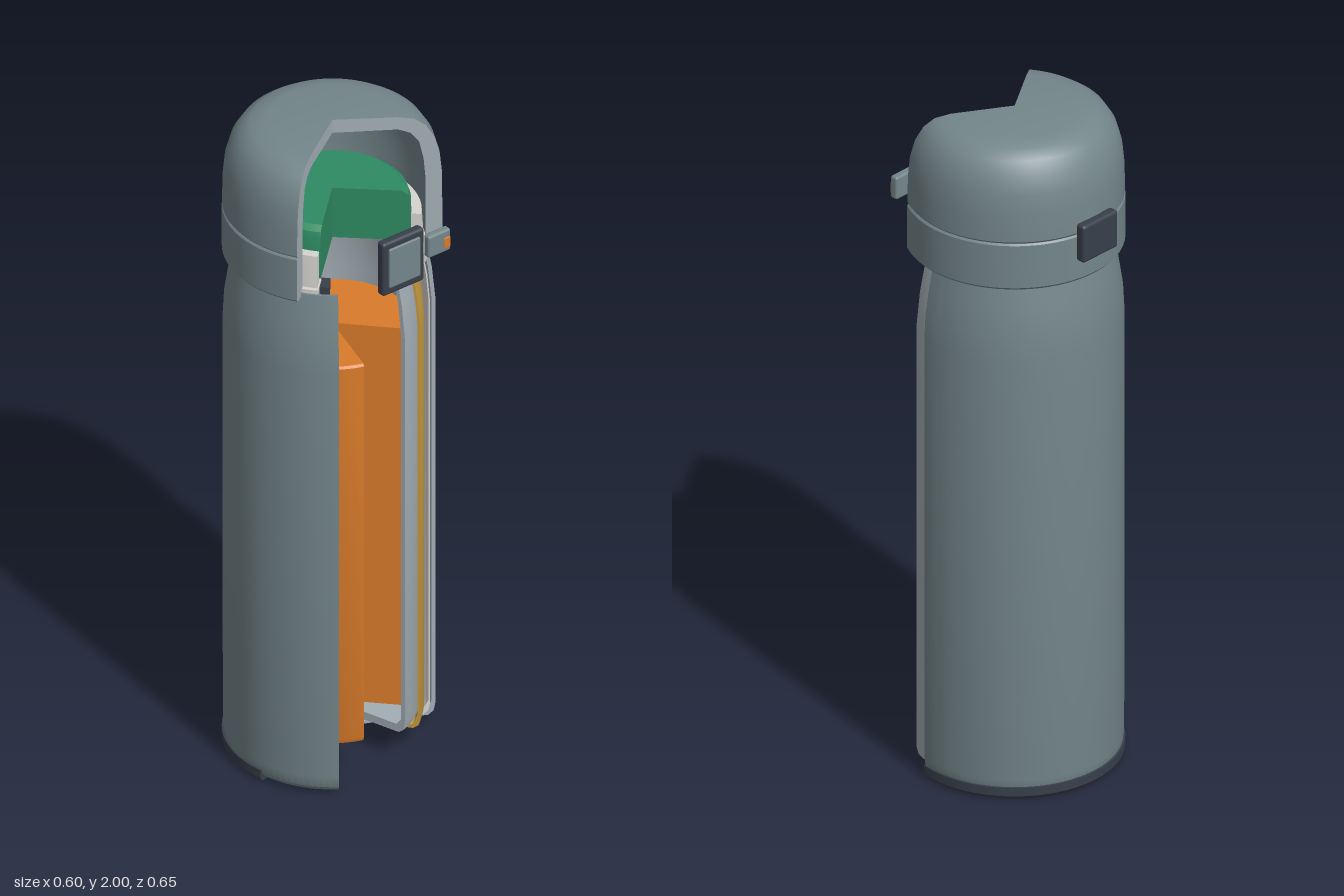
import * as THREE from 'three';
import { toCreasedNormals } from 'three/addons/utils/BufferGeometryUtils.js';
import { RoundedBoxGeometry } from 'three/addons/geometries/RoundedBoxGeometry.js';

const mat = (name, color) => {
  const m = new THREE.MeshStandardMaterial({ color });
  m.name = name;
  return m;
};

export function createModel() {
  const paint = mat('grey teal paint', 0x74868a);
  const steel = mat('brushed steel', 0xa3aeb5);
  const copper = mat('golden foil', 0xc99d42);
  const orange = mat('orange drink', 0xd97b2a);
  const green = mat('green stopper', 0x2e8b62);
  const cream = mat('pale collar', 0xd6d4d0);
  const dark = mat('dark rubber', 0x383f4a);

  const model = new THREE.Group();
  model.name = 'cutawayFlask';
  const rad = THREE.MathUtils.degToRad;

  // Revolved solid with an open wedge at the front, from angle left to angle right
  // (degrees from +z towards +x). The profile runs counter-clockwise in (radius, y).
  function sector(name, profile, left, right, material, capMaterial = material) {
    const group = new THREE.Group();
    group.name = name;
    const pts = profile.map(([r, y]) => new THREE.Vector2(r, y));
    const closed = profile[0][0] === 0 && profile[profile.length - 1][0] === 0;
    const loop = closed ? pts : [...pts, pts[0].clone()];
    const start = rad(right), sweep = Math.PI * 2 - rad(right - left);
    const wall = new THREE.Mesh(
      toCreasedNormals(new THREE.LatheGeometry(loop, 72, start, sweep), rad(35)), material);
    wall.name = name + 'Wall';
    group.add(wall);
    // flat cut faces
    [[start, false], [start + sweep, true]].forEach(([phi, flip]) => {
      const g = new THREE.ShapeGeometry(new THREE.Shape(pts));
      if (flip) {
        g.index.array.reverse();
        const n = g.attributes.normal;
        for (let i = 0; i < n.count; i++) n.setZ(i, -1);
      }
      g.rotateY(phi - Math.PI / 2);
      const cap = new THREE.Mesh(g, capMaterial);
      cap.name = name + 'CutFace';
      group.add(cap);
    });
    model.add(group);
  }

  // Bottle-shaped wall: floor, straight side and shoulder tapering to the neck
  function vessel(name, r, t, y0, floor, top, neck, left, right, material) {
    const bend = Math.min(1.38, top - 0.16);
    const mid = (bend + top) / 2, rm = r - (r - neck) * 0.35;
    sector(name, [
      [0, y0], [r - 0.02, y0], [r - 0.005, y0 + 0.012], [r, y0 + 0.035],
      [r, bend], [rm, mid], [neck, top],
      [neck - t, top], [rm - t, mid], [r - t, bend],
      [r - t, y0 + 0.045], [r - t - 0.015, y0 + floor], [0, y0 + floor],
    ], left, right, material);
  }

  // Outer coat with a recessed centre underneath
  sector('outerShell', [
    [0, 0.02], [0.13, 0.02], [0.14, 0.008], [0.28, 0.008], [0.295, 0.025], [0.299, 0.06],
    [0.3, 1.36], [0.296, 1.44], [0.284, 1.52], [0.268, 1.6],
    [0.26, 1.6], [0.276, 1.52], [0.288, 1.44], [0.292, 1.36],
    [0.291, 0.06], [0.28, 0.027], [0, 0.027],
  ], -35, 78, paint, steel);

  // Nested layers, each cut back further than the one inside it
  vessel('outerSteelWall', 0.29, 0.011, 0.028, 0.008, 1.58, 0.262, -36, 66, steel);
  vessel('insulationLiner', 0.272, 0.004, 0.04, 0.02, 1.55, 0.25, -38, 63, cream);
  vessel('foilLayer', 0.25, 0.007, 0.07, 0.012, 1.53, 0.232, -40, 35, copper);
  vessel('innerVessel', 0.24, 0.012, 0.095, 0.024, 1.58, 0.212, -42.5, 17, steel);

  // Drink
  sector('drink', [[0, 0.121], [0.222, 0.121], [0.227, 0.135], [0.227, 1.335], [0.222, 1.342], [0, 1.342]],
    -16, 43, orange);

  // Rubber foot ring
  sector('footRing', [[0.272, 0], [0.292, 0], [0.302, 0.012], [0.302, 0.038], [0.272, 0.038]],
    -79, 78, dark);

  // Neck collar, seal and stopper
  sector('collarFlange', [[0.2, 1.581], [0.262, 1.581], [0.262, 1.612], [0.2, 1.612]], -47, 36, cream);
  sector('collarWall', [[0.216, 1.612], [0.25, 1.612], [0.244, 1.71], [0.216, 1.71]], -48, 46, cream);
  sector('seal', [[0.185, 1.584], [0.235, 1.584], [0.235, 1.606], [0.185, 1.606]], -40, 42, dark);
  sector('stopper', [
    [0, 1.62], [0.205, 1.62], [0.215, 1.63], [0.215, 1.745], [0.208, 1.767], [0.19, 1.78], [0, 1.78],
  ], -47, 47, green);

  // Two-part lid with a seam
  sector('lidRing', [
    [0.268, 1.59], [0.296, 1.59], [0.302, 1.597], [0.302, 1.728], [0.298, 1.733], [0.255, 1.733], [0.255, 1.6],
  ], -57, 57, paint, steel);
  sector('lidDome', [
    [0.255, 1.733], [0.296, 1.733], [0.301, 1.739], [0.3, 1.82], [0.294, 1.88], [0.28, 1.93],
    [0.256, 1.968], [0.225, 1.99], [0.18, 1.998], [0, 2],
    [0, 1.958], [0.18, 1.958], [0.215, 1.945], [0.238, 1.915], [0.25, 1.86], [0.255, 1.8],
  ], -57, 57, paint, steel);

  // Latch pieces: [name, width, height, depth, x, y, z, material]
  [
    ['rearHinge', 0.138, 0.115, 0.032, 0, 1.713, -0.309, dark],
    ['latchFrame', 0.144, 0.17, 0.03, 0, 1.695, 0.3, dark],
    ['latchButton', 0.108, 0.125, 0.014, 0, 1.697, 0.314, paint],
    ['lockSlider', 0.078, 0.07, 0.025, 0.132, 1.7, 0.294, paint],
    ['lockMarker', 0.022, 0.034, 0.008, 0.156, 1.695, 0.305, orange],
  ].forEach(([name, w, h, d, x, y, z, material]) => {
    const part = new THREE.Mesh(new RoundedBoxGeometry(w, h, d, 2, d * 0.3), material);
    part.name = name;
    part.position.set(x, y, z);
    model.add(part);
  });

  return model;
}
